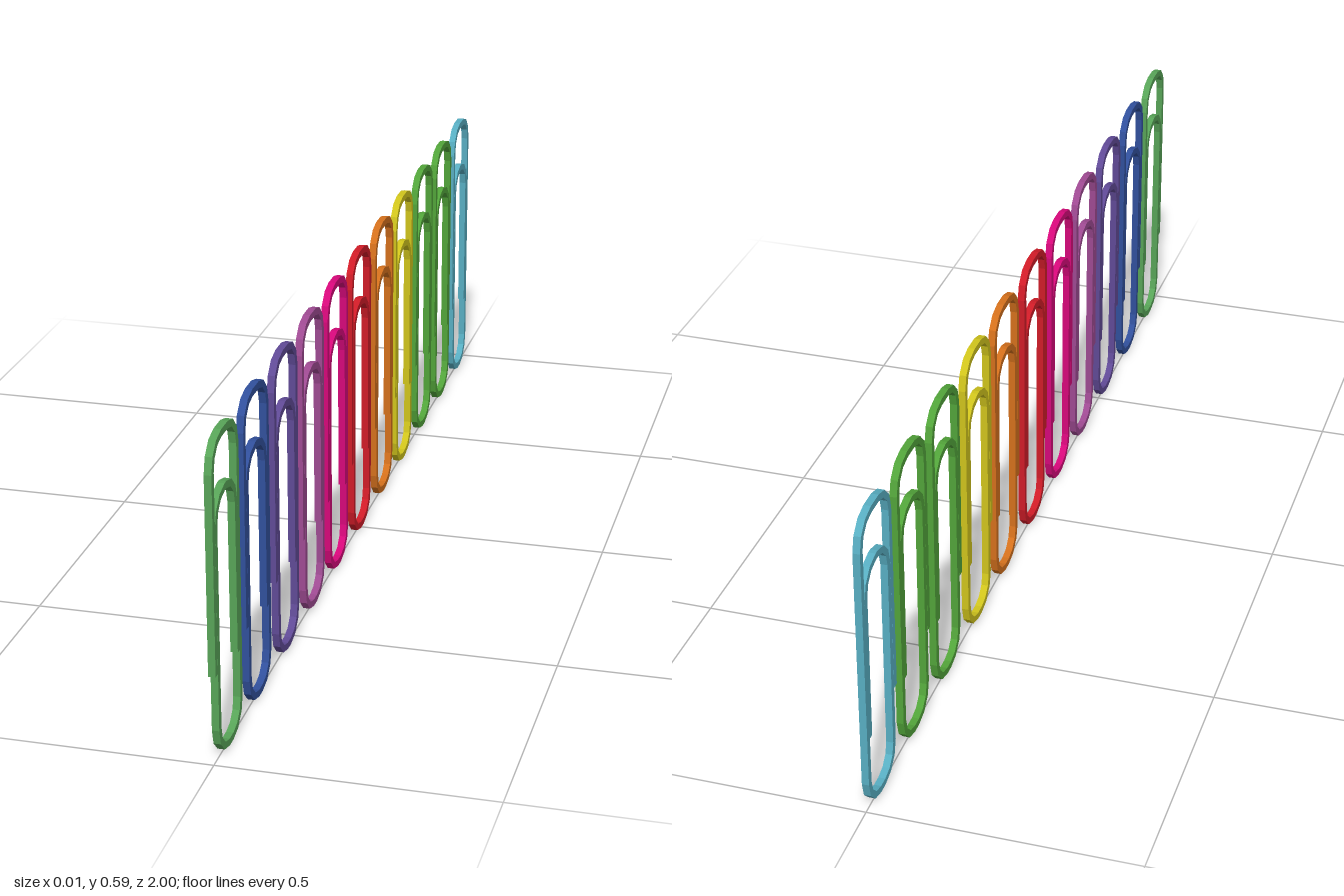
import * as THREE from 'three';

const HALF = 0.0066, BEND = 0.052, STEPS = 3;

// Corners of the bent wire as (z, y), from the outer end to the inner end
const CORNERS = [
  [0.071, 0.168], [0.07, 0.5875], [-0.071, 0.5875], [-0.069, 0.0066],
  [0.057, 0.0066], [0.057, 0.4855], [-0.057, 0.4855], [-0.058, 0.15],
].map(([z, y]) => new THREE.Vector2(z, y));

// Centre line: every inner corner becomes a quarter bend of flat segments
function wirePath() {
  const path = [];
  CORNERS.forEach((p, i) => {
    const a = i > 0 ? p.clone().sub(CORNERS[i - 1]).normalize() : null;
    const b = i < CORNERS.length - 1 ? CORNERS[i + 1].clone().sub(p).normalize() : null;
    if (!a || !b) {
      path.push({ p, t: a || b });
      return;
    }
    const centre = p.clone().addScaledVector(a, -BEND).addScaledVector(b, BEND);
    for (let k = 0; k <= STEPS; k++) {
      const th = (k / STEPS) * Math.PI / 2, c = Math.cos(th), s = Math.sin(th);
      path.push({
        p: centre.clone().addScaledVector(b, -BEND * c).addScaledVector(a, BEND * s),
        t: a.clone().multiplyScalar(c).addScaledVector(b, s).normalize(),
      });
    }
  });
  return path;
}

// Square-section wire: both edges of the path form an outline, extruded across x
function wireGeometry() {
  const path = wirePath();
  const edge = (offset) => path.map(({ p, t }) => new THREE.Vector2(p.x - t.y * offset, p.y + t.x * offset));
  const outline = new THREE.Shape([...edge(HALF), ...edge(-HALF).reverse()]);
  const g = new THREE.ExtrudeGeometry(outline, { depth: 2 * HALF, bevelEnabled: false });
  g.translate(0, 0, -HALF);
  g.rotateY(-Math.PI / 2);
  return g;
}

export function createModel() {
  const group = new THREE.Group();
  group.name = 'paperClips';
  const colours = {
    softGreen: 0x58a458, blue: 0x31509c, violet: 0x604a96, purple: 0x9e4a92, magenta: 0xd6087a,
    red: 0xd01c28, orange: 0xd4701c, yellow: 0xd0c41c, leafGreen: 0x52a43a, cyan: 0x58aec2,
  };
  const materials = {};
  for (const [name, color] of Object.entries(colours)) {
    materials[name] = new THREE.MeshStandardMaterial({ color });
    materials[name].name = name;
  }

  // Row of clips from front to back: colour and centre z
  const row = [
    ['softGreen', 0.9224], ['blue', 0.74], ['violet', 0.551], ['purple', 0.366],
    ['magenta', 0.185], ['red', 0], ['orange', -0.189], ['yellow', -0.366],
    ['leafGreen', -0.555], ['leafGreen', -0.74], ['cyan', -0.9224],
  ];
  const geometry = wireGeometry();
  row.forEach(([colour, z], i) => {
    const clip = new THREE.Mesh(geometry, materials[colour]);
    clip.name = `paperClip${i + 1}`;
    clip.position.z = z;
    group.add(clip);
  });
  return group;
}
